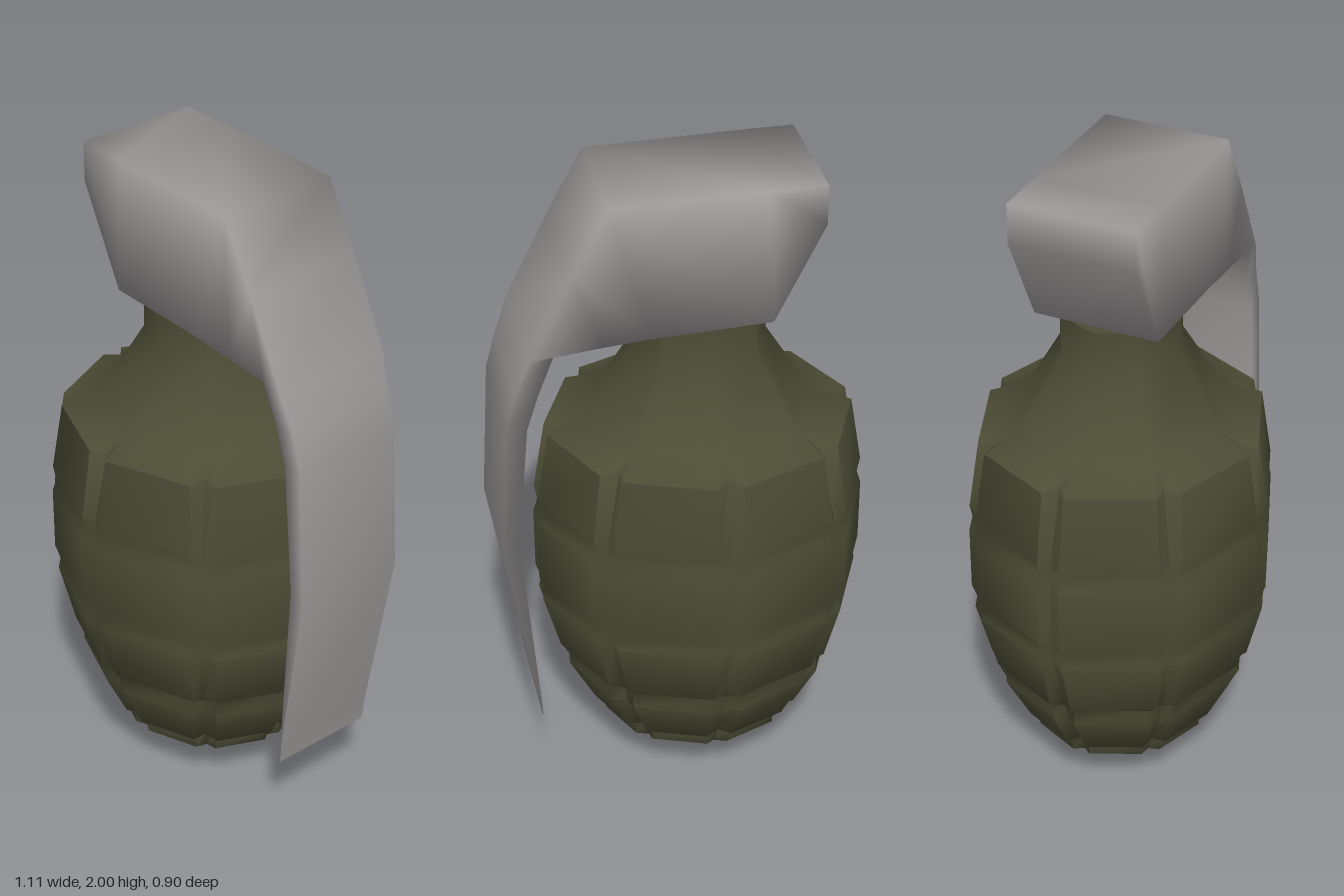
import * as THREE from 'three';
import { toCreasedNormals } from 'three/addons/utils/BufferGeometryUtils.js';

// Skin a list of closed rings (equal point counts) and cap both ends.
function loft(rings) {
  const n = rings[0].length, last = (rings.length - 1) * n, index = [];
  for (let i = 0; i < rings.length - 1; i++) {
    for (let j = 0; j < n; j++) {
      const a = i * n + j, b = i * n + (j + 1) % n;
      index.push(a, b, b + n, a, b + n, a + n);
    }
  }
  for (let j = 1; j < n - 1; j++) {
    index.push(0, j + 1, j, last, last + j, last + j + 1);
  }
  const g = new THREE.BufferGeometry();
  g.setAttribute('position', new THREE.Float32BufferAttribute(rings.flat(2), 3));
  g.setIndex(index);
  g.computeVertexNormals();
  return g;
}

// Octagonal ring whose eight corners are each split by a vertical groove.
function grooveRing([y, r, grooveR, halfWidth]) {
  const ring = [];
  for (let k = 0; k < 8; k++) {
    const mid = k * Math.PI / 4, h = halfWidth / r;
    for (const [a, rad] of [[mid - h, r], [mid, grooveR], [mid + h, r]]) {
      ring.push([rad * Math.cos(a), y, -0.91 * rad * Math.sin(a)]);
    }
  }
  return ring;
}

export function createModel() {
  const group = new THREE.Group();
  group.name = 'grenade';

  // Segmented body and neck: height, radius, groove radius, groove half width
  const profile = [
    [0, 0.005, 0.005, 0.001],
    [0.045, 0.135, 0.125, 0.015],
    [0.16, 0.3, 0.278, 0.03],
    [0.205, 0.303, 0.285, 0.033],
    [0.215, 0.335, 0.3, 0.037],
    [0.36, 0.412, 0.388, 0.037],
    [0.415, 0.412, 0.395, 0.037],
    [0.435, 0.437, 0.415, 0.037],
    [0.62, 0.487, 0.468, 0.037],
    [0.655, 0.48, 0.468, 0.037],
    [0.7, 0.496, 0.478, 0.037],
    [0.9, 0.496, 0.478, 0.037],
    [0.94, 0.483, 0.472, 0.037],
    [0.985, 0.492, 0.47, 0.037],
    [1.2, 0.456, 0.41, 0.037],
    [1.24, 0.335, 0.335, 0.005],
    [1.465, 0.195, 0.195, 0.005],
    [1.585, 0.195, 0.195, 0.005],
  ];
  const body = new THREE.Mesh(
    toCreasedNormals(loft(profile.map(grooveRing)), 0.9),
    new THREE.MeshStandardMaterial({ color: 0x4c4c36 })
  );
  body.name = 'body';
  body.position.x = -0.065;
  group.add(body);

  // Fuse head running into the safety lever: outer x, y, inner x, y, half width
  const stations = [
    [-0.38, 2.0, -0.38, 1.88, 0.19],
    [-0.22, 2.0, -0.235, 1.59, 0.19],
    [0.23, 1.995, 0.11, 1.58, 0.19],
    [0.335, 1.8, 0.25, 1.57, 0.19],
    [0.46, 1.55, 0.39, 1.56, 0.19],
    [0.503, 1.43, 0.435, 1.43, 0.177],
    [0.53, 1.33, 0.47, 1.32, 0.177],
    [0.555, 0.9, 0.505, 0.92, 0.18],
    [0.464, 0.35, 0.458, 0.35, 0.167],
    [0.456, 0.28, 0.453, 0.28, 0.165],
  ];
  const lever = new THREE.Mesh(
    loft(stations.map(([ox, oy, ix, iy, w]) => [
      [ix, iy, -w], [ox, oy, -w], [ox, oy, w], [ix, iy, w],
    ])),
    new THREE.MeshStandardMaterial({ color: 0x9c9898 })
  );
  lever.name = 'fuseHeadAndLever';
  group.add(lever);

  return group;
}
